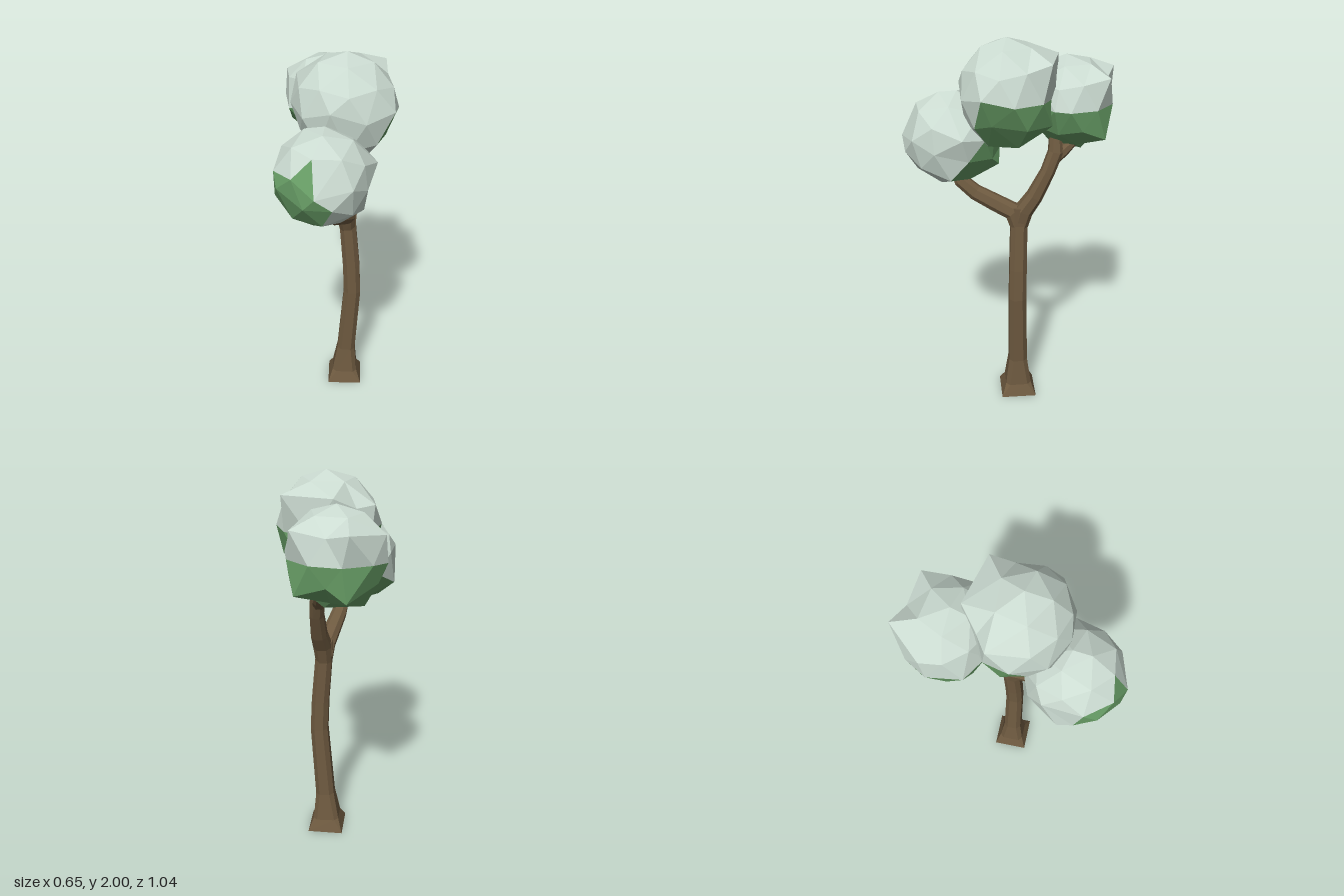
import * as THREE from 'three';
import { mergeVertices } from 'three/addons/utils/BufferGeometryUtils.js';

const mat = (name, color) => {
  const m = new THREE.MeshStandardMaterial({ color, flatShading: true });
  m.name = name;
  return m;
};

// Sweep a chamfered square along points [x, y, z, halfWidth, chamfer], capped at both ends
function limb(path, turn) {
  const pts = path.map(p => new THREE.Vector3(p[0], p[1], p[2]));
  const pos = [], index = [], last = path.length - 1, n = 8;
  path.forEach(([, , , r, b], k) => {
    const t = pts[Math.min(k + 1, last)].clone().sub(pts[Math.max(k - 1, 0)]).normalize();
    const u = new THREE.Vector3(1, 0, 0).addScaledVector(t, -t.x).normalize();
    u.applyAxisAngle(t, turn);
    const w = t.clone().cross(u), c = 1 - b;
    const ring = [[1, -c], [1, c], [c, 1], [-c, 1], [-1, c], [-1, -c], [-c, -1], [c, -1]];
    for (const [p, q] of ring) {
      pos.push(...pts[k].clone().addScaledVector(u, p * r).addScaledVector(w, q * r).toArray());
    }
  });
  for (let k = 0; k < last; k++) {
    for (let i = 0; i < n; i++) {
      const a = k * n + i, b = k * n + (i + 1) % n;
      index.push(a, b, b + n, a, b + n, a + n);
    }
  }
  for (let i = 1; i < n - 1; i++) {
    index.push(0, i + 1, i, last * n, last * n + i, last * n + i + 1);
  }
  const g = new THREE.BufferGeometry();
  g.setAttribute('position', new THREE.Float32BufferAttribute(pos, 3));
  g.setIndex(index);
  const flat = g.toNonIndexed();
  flat.computeVertexNormals();
  return flat;
}

// Faceted ellipsoid filling a box, with its nearest vertices pulled out to a few corners.
// Faces are sorted into snow and leaves by direction; an edge ring lies square to snowAxis.
function clump({ min, max, snowAxis, spin, corners, isSnow }) {
  const ico = new THREE.IcosahedronGeometry(1, 1);
  ico.deleteAttribute('normal');
  ico.deleteAttribute('uv');
  const axis = new THREE.Vector3(...snowAxis).normalize();
  const pole = new THREE.Vector3(0, 1, (1 + Math.sqrt(5)) / 2).normalize();
  ico.applyQuaternion(new THREE.Quaternion().setFromUnitVectors(pole, axis));
  ico.applyQuaternion(new THREE.Quaternion().setFromAxisAngle(axis, spin));
  const g = mergeVertices(ico, 1e-3);
  const p = g.attributes.position;
  const dirs = Array.from({ length: p.count }, (_, i) => new THREE.Vector3().fromBufferAttribute(p, i));

  const lo = new THREE.Vector3(...min), hi = new THREE.Vector3(...max);
  const centre = lo.clone().add(hi).multiplyScalar(0.5);
  const radii = hi.clone().sub(lo).multiplyScalar(0.5);
  const verts = dirs.map(d => d.clone().multiply(radii).add(centre));
  const moved = new Set();
  for (const corner of corners) {
    const target = new THREE.Vector3(...corner);
    let best = -1;
    verts.forEach((v, i) => {
      if (moved.has(i)) return;
      if (best < 0 || v.distanceTo(target) < verts[best].distanceTo(target)) best = i;
    });
    moved.add(best);
    verts[best].copy(target);
  }

  const parts = { snow: [], leaves: [] };
  const idx = g.index.array;
  for (let i = 0; i < idx.length; i += 3) {
    const face = [idx[i], idx[i + 1], idx[i + 2]];
    const d = new THREE.Vector3();
    face.forEach(k => d.add(dirs[k]));
    const list = isSnow(d.normalize()) ? parts.snow : parts.leaves;
    face.forEach(k => list.push(...verts[k].toArray()));
  }
  return Object.entries(parts).map(([name, list]) => {
    const part = new THREE.BufferGeometry();
    part.setAttribute('position', new THREE.Float32BufferAttribute(list, 3));
    part.computeVertexNormals();
    return [name, part];
  });
}

export function createModel() {
  const tree = new THREE.Group();
  tree.name = 'snowyTree';
  const bark = mat('bark', 0x6e5a40);
  const foliage = { snow: mat('snow', 0xcbdbd1), leaves: mat('leaves', 0x689e66) };

  // Trunk with flared square foot, two main branches and a twig
  const limbs = {
    trunk: [
      [0.06, 0, -0.075, 0.095, 0], [0.06, 0.065, -0.075, 0.07, 0.3],
      [0.068, 0.22, -0.075, 0.05, 0.45], [0.098, 0.63, -0.075, 0.046, 0.5],
      [0.09, 0.8, -0.075, 0.045, 0.5], [0.068, 1.05, -0.075, 0.043, 0.5],
      [0.066, 1.15, -0.08, 0.045, 0.5]],
    frontBranch: [
      [0.067, 1.03, -0.075, 0.04, 0.5], [0.066, 1.12, -0.045, 0.046, 0.5],
      [0.066, 1.16, 0.04, 0.042, 0.5], [0.066, 1.215, 0.15, 0.038, 0.5],
      [0.07, 1.28, 0.225, 0.034, 0.5], [0.07, 1.34, 0.25, 0.025, 0.5]],
    backBranch: [
      [0.067, 1.03, -0.075, 0.04, 0.5], [0.066, 1.13, -0.1, 0.045, 0.5],
      [0.062, 1.21, -0.153, 0.04, 0.5], [0.048, 1.34, -0.215, 0.034, 0.5],
      [0.028, 1.44, -0.25, 0.036, 0.5], [0.015, 1.54, -0.245, 0.028, 0.5]],
    twig: [
      [0.028, 1.4, -0.24, 0.028, 0.5], [0.01, 1.44, -0.285, 0.028, 0.5],
      [-0.01, 1.48, -0.33, 0.02, 0.5]],
  };
  for (const [name, path] of Object.entries(limbs)) {
    const mesh = new THREE.Mesh(limb(path, 0.23), bark);
    mesh.name = name;
    tree.add(mesh);
  }

  // Three leaf clumps, each dusted with snow from a slightly different side
  const frontPatch = new THREE.Vector3(-0.2, -0.2, 0.96);
  const clumps = {
    topClump: {
      min: [-0.2, 1.46, -0.25], max: [0.32, 2, 0.225], snowAxis: [0, 1, 0], spin: 0.3,
      corners: [
        [0.32, 1.76, 0.07], [0.21, 1.91, -0.24], [-0.05, 1.91, -0.245], [0.12, 1.6, -0.24],
        [0.05, 1.78, 0.225], [-0.195, 1.86, -0.07], [-0.195, 1.75, 0.04], [0.07, 2, -0.01],
        [0.05, 1.46, 0], [0.27, 1.63, 0.03], [-0.13, 1.64, 0.1]],
      isSnow: d => d.y > 0 || d.z > 0.42,
    },
    backClump: {
      min: [-0.33, 1.45, -0.52], max: [0.16, 1.9, -0.09], snowAxis: [0, 1, 0], spin: 0.1,
      corners: [
        [-0.22, 1.82, -0.51], [-0.2, 1.51, -0.49], [0.06, 1.82, -0.5], [0.05, 1.52, -0.49],
        [0.16, 1.68, -0.25], [-0.325, 1.79, -0.32], [-0.33, 1.66, -0.3], [-0.235, 1.46, -0.34],
        [-0.265, 1.64, -0.15], [-0.08, 1.9, -0.28], [-0.05, 1.44, -0.37]],
      isSnow: d => d.y > 0,
    },
    frontClump: {
      min: [-0.21, 1.26, 0.02], max: [0.265, 1.73, 0.52], snowAxis: [0, 0.7, 0.7], spin: 0.5,
      corners: [
        [0.055, 1.5, 0.52], [-0.14, 1.5, 0.45], [-0.2, 1.38, 0.28], [-0.2, 1.56, 0.2],
        [0.265, 1.55, 0.17], [0.25, 1.47, 0.31], [0.22, 1.33, 0.24], [0.03, 1.73, 0.24],
        [0.03, 1.26, 0.23], [0.05, 1.37, 0.03], [0.03, 1.58, 0.05]],
      isSnow: d => 0.4 * Math.abs(d.x) + 0.6 * d.y + 0.6 * d.z > -0.15 && d.dot(frontPatch) < 0.72,
    },
  };
  for (const [name, spec] of Object.entries(clumps)) {
    const group = new THREE.Group();
    group.name = name;
    for (const [part, geometry] of clump(spec)) {
      const mesh = new THREE.Mesh(geometry, foliage[part]);
      mesh.name = part;
      group.add(mesh);
    }
    tree.add(group);
  }
  return tree;
}
